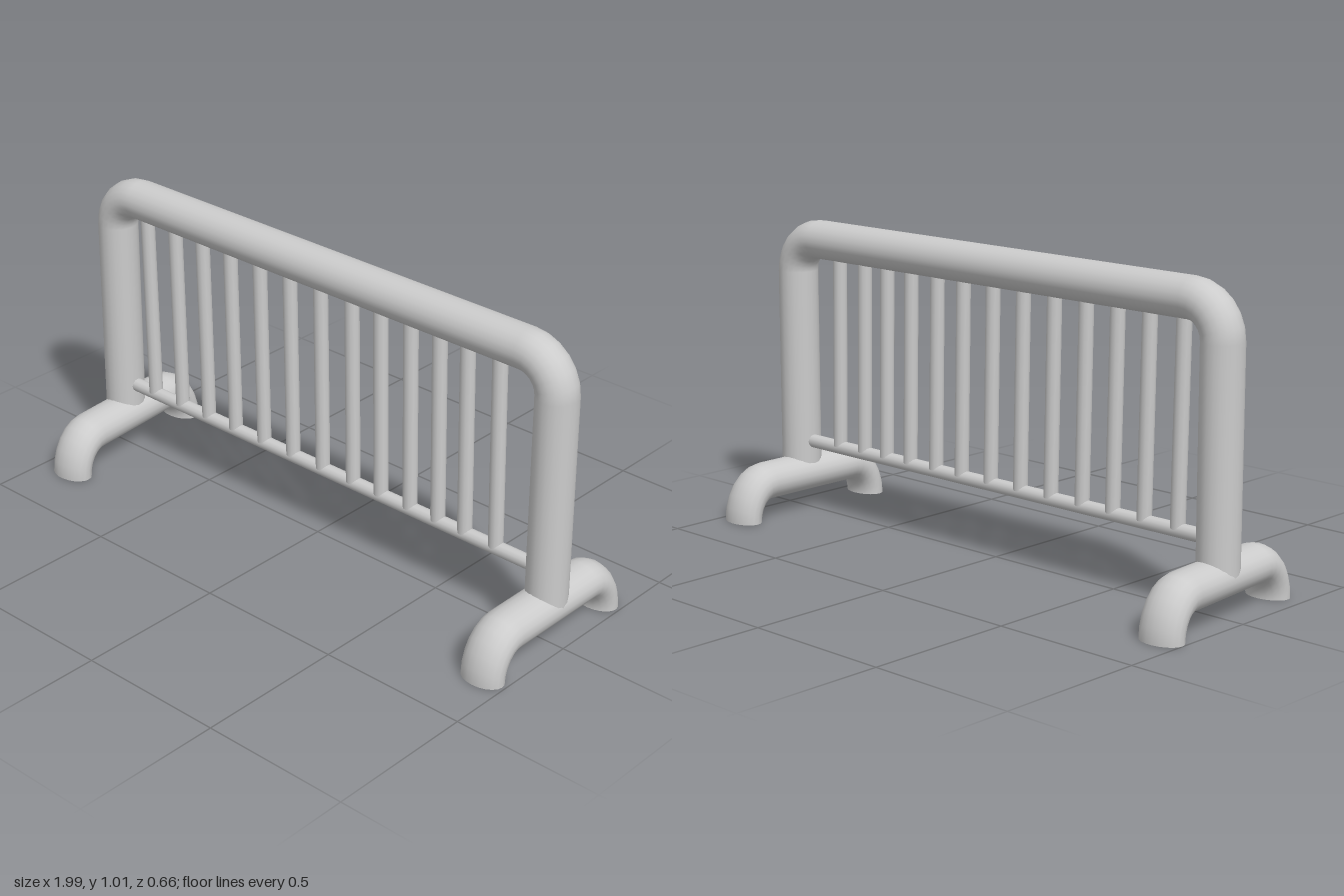
import * as THREE from 'three';
import { mergeGeometries } from 'three/addons/utils/BufferGeometryUtils.js';

// Upside-down U path in the xy plane: leg, bend, crossbar, bend, leg
class ArchCurve extends THREE.Curve {
  constructor(halfWidth, height, bottom, bend, steps = 6) {
    super();
    this.points = [];
    this.tangents = [];
    const add = (x, y, tx, ty) => {
      this.points.push(new THREE.Vector3(x, y, 0));
      this.tangents.push(new THREE.Vector3(tx, ty, 0));
    };
    const legged = height - bend - bottom > 1e-4;
    if (legged) add(-halfWidth, bottom, 0, 1);
    for (const side of [-1, 1]) {
      for (let i = 0; i <= steps; i++) {
        const a = (side < 0 ? i : steps - i) / steps * Math.PI / 2;
        add(side * (halfWidth - bend + bend * Math.cos(a)), height - bend + bend * Math.sin(a),
          Math.sin(a), -side * Math.cos(a));
      }
    }
    if (legged) add(halfWidth, bottom, 0, -1);
    this.segments = this.points.length - 1;
  }
  getUtoTmapping(u) { return u; }
  getPoint(t) { return this.points[Math.round(t * this.segments)].clone(); }
  getTangent(t) { return this.tangents[Math.round(t * this.segments)].clone(); }
}

// Bent pipe with closed ends
function archGeometry(halfWidth, height, bottom, bend, radius) {
  const curve = new ArchCurve(halfWidth, height, bottom, bend);
  const parts = [new THREE.TubeGeometry(curve, curve.segments, radius, 20, false)];
  for (const side of [-1, 1]) {
    parts.push(new THREE.CircleGeometry(radius, 20).rotateX(Math.PI / 2).translate(side * halfWidth, bottom, 0));
  }
  return mergeGeometries(parts);
}

export function createModel() {
  const model = new THREE.Group();
  model.name = 'crowdBarrier';
  const material = new THREE.MeshStandardMaterial({ color: 0xcccccc });
  const addMesh = (name, geometry, x, y, z) => {
    const mesh = new THREE.Mesh(geometry, material);
    mesh.name = name;
    mesh.position.set(x, y, z);
    model.add(mesh);
    return mesh;
  };
  const planeZ = -0.007;

  // Main frame: two posts and the top rail
  const frame = addMesh('frame', archGeometry(0.916, 0.945, 0.12, 0.115, 0.065), 0.007, 0, planeZ);
  frame.scale.z = 1.06;

  // Arched feet, the right one turned slightly
  const footGeometry = archGeometry(0.354, 0.1225, 0, 0.1225, 0.0625);
  for (const [name, x, turn] of [['leftFoot', 0.916, 0], ['rightFoot', -0.901, 0.085]]) {
    const foot = addMesh(name, footGeometry, x, 0, 0);
    foot.rotation.y = Math.PI / 2 + turn;
    foot.scale.set(0.795, 1, 1.19);
  }

  // Lower rail between the posts
  addMesh('lowerRail', new THREE.CylinderGeometry(0.023, 0.023, 1.78, 12).rotateZ(Math.PI / 2), 0.007, 0.24, planeZ);

  // Upright bars, leaning a little
  const barGeometry = new THREE.CylinderGeometry(0.024, 0.024, 0.66, 12);
  const barX = [-0.76, -0.63, -0.505, -0.38, -0.25, -0.12, 0.01, 0.14, 0.257, 0.377, 0.49, 0.597, 0.718];
  for (const x of barX) {
    addMesh('uprightBar', barGeometry, x, 0.575, planeZ).rotation.z = 0.018;
  }
  return model;
}
